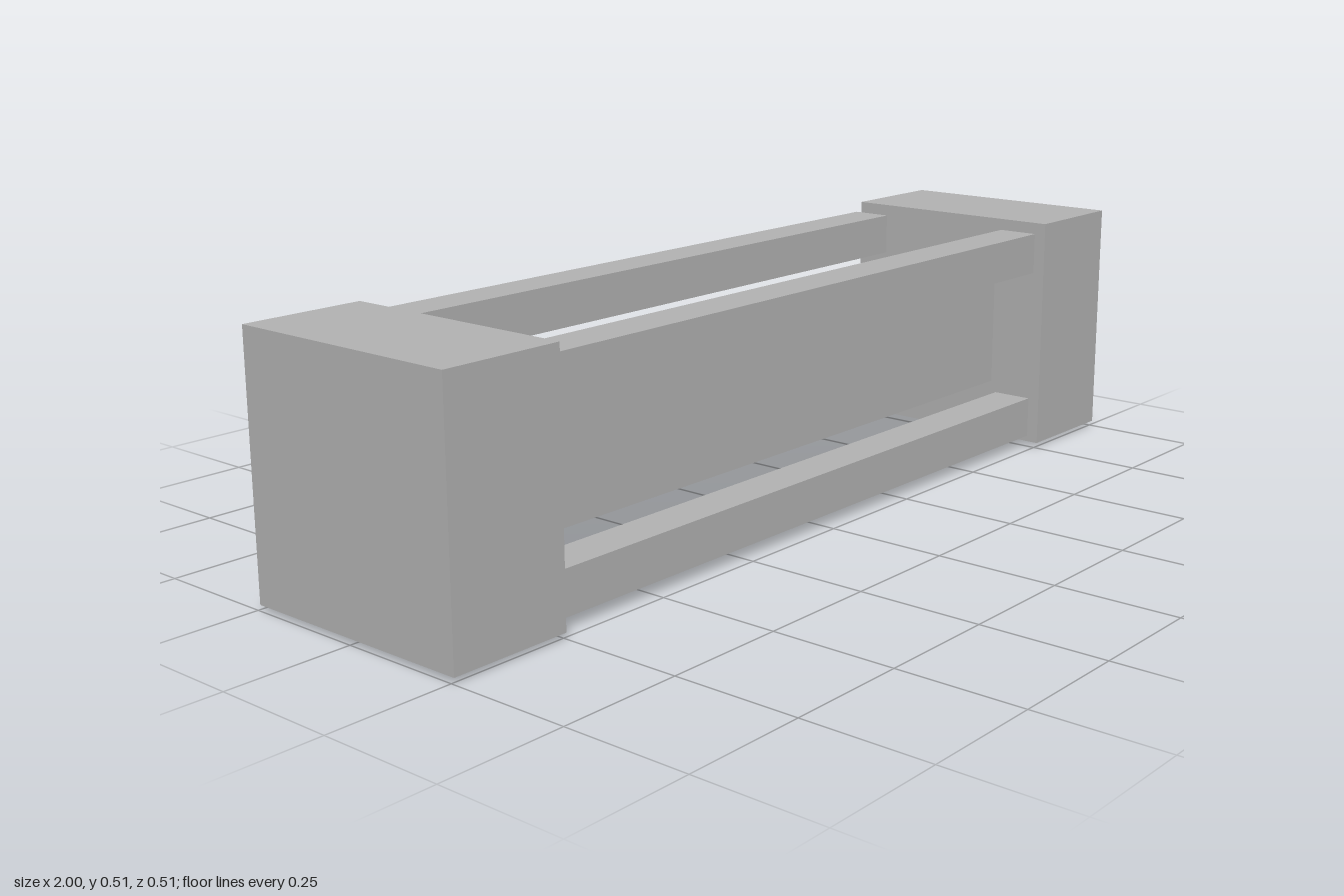
import * as THREE from 'three';

export function createModel() {
  const model = new THREE.Group();
  model.name = 'railedFrame';
  const grey = new THREE.MeshStandardMaterial({ name: 'plain grey', color: 0xb2b2b2 });

  const addBox = (name, size, position) => {
    const mesh = new THREE.Mesh(new THREE.BoxGeometry(...size), grey);
    mesh.name = name;
    mesh.position.set(...position);
    model.add(mesh);
  };

  const midY = 0.2625, midZ = 0.007;
  const span = 1.5; // clear length between the end blocks
  const rail = 0.0875; // square rail thickness

  // Square blocks at both ends
  for (const [side, name] of [[1, 'leftEndBlock'], [-1, 'rightEndBlock']]) {
    addBox(name, [0.25, 0.5, 0.5], [side * 0.875, midY, midZ]);
  }

  // Thick central beam
  addBox('centralBeam', [span, 0.25, 0.25], [0, midY, midZ]);

  // Four corner rails; the back ones sit slightly proud, the lower one also dips below
  const rails = [
    ['upperFrontRail', 0.444, 0.188],
    ['lowerFrontRail', 0.069, 0.188],
    ['upperBackRail', 0.444, -0.2125],
    ['lowerBackRail', 0.0445, -0.2125],
  ];
  for (const [name, y, z] of rails) addBox(name, [span, rail, rail], [0, y, z]);

  return model;
}
